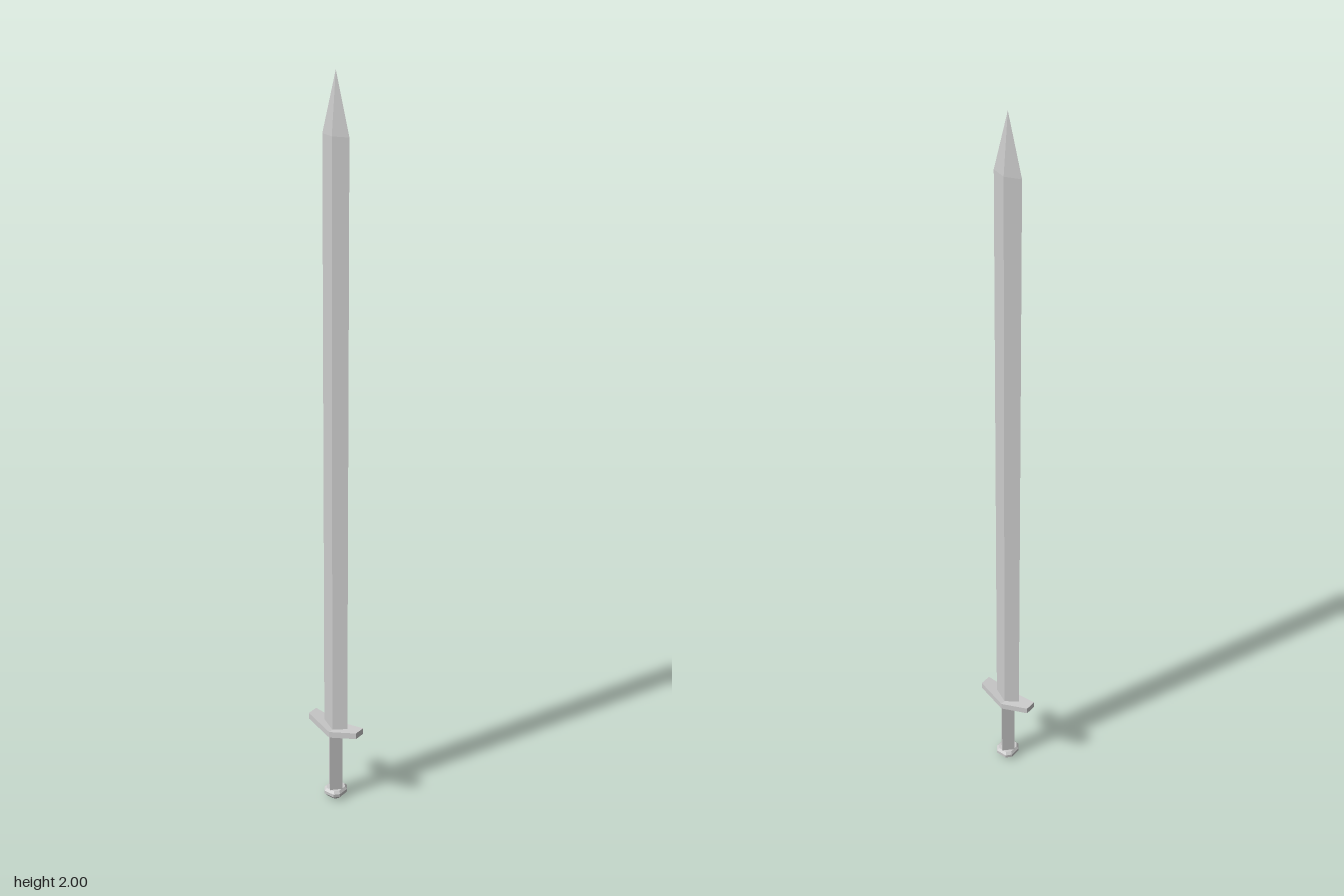
import * as THREE from 'three';

// Closed loft through rings of [x, z] outlines stacked along y, with flat caps
function loft(outline, levels) {
  const n = outline.length, pos = [], idx = [];
  for (const [y, s] of levels) for (const [x, z] of outline) pos.push(x * s, y, z * s);
  for (let r = 0; r < levels.length - 1; r++) {
    for (let i = 0; i < n; i++) {
      const a = r * n + i, b = r * n + (i + 1) % n;
      idx.push(a, b, a + n, b, b + n, a + n);
    }
  }
  const top = (levels.length - 1) * n;
  for (let i = 1; i < n - 1; i++) idx.push(0, i + 1, i, top, top + i, top + i + 1);
  const g = new THREE.BufferGeometry();
  g.setAttribute('position', new THREE.Float32BufferAttribute(pos, 3));
  g.setIndex(idx);
  const flat = g.toNonIndexed();
  flat.computeVertexNormals();
  return flat;
}

export function createModel() {
  const group = new THREE.Group();
  const steel = new THREE.MeshStandardMaterial({ color: 0xcccccc, flatShading: true });
  const add = (name, geometry) => {
    const mesh = new THREE.Mesh(geometry, steel);
    mesh.name = name;
    group.add(mesh);
  };
  // Outlines run counterclockwise seen from above
  const diamond = (w, d) => [[w, 0], [0, -d], [-w, 0], [0, d]];

  // Diamond-section blade tapering to a point
  add('blade', loft(diamond(0.04, 0.015), [[0.212, 1], [1.85, 1], [2, 0.001]]));

  // Crossguard: a bar narrowing and rising towards both ends
  const guard = new THREE.BoxGeometry(0.164, 0.018, 0.059, 2, 1, 1);
  const p = guard.attributes.position;
  for (let i = 0; i < p.count; i++) {
    const t = Math.abs(p.getX(i)) / 0.082;
    p.setY(i, p.getY(i) + 0.213 + 0.022 * t);
    p.setZ(i, p.getZ(i) * (1 - 0.45 * t));
  }
  guard.computeVertexNormals();
  add('crossguard', guard);

  // Grip with its edges to the front and sides
  add('grip', loft(diamond(0.024, 0.026), [[0.015, 1], [0.213, 1]]));

  // Eight-sided pommel with chamfered top and bottom
  const a = 0.028, b = 0.016, c = 0.016, d = 0.03;
  const octagon = [[a, b], [a, -b], [c, -d], [-c, -d], [-a, -b], [-a, b], [-c, d], [c, d]];
  add('pommel', loft(octagon, [[0, 0.65], [0.012, 1], [0.021, 1], [0.028, 0.8]]));

  return group;
}
